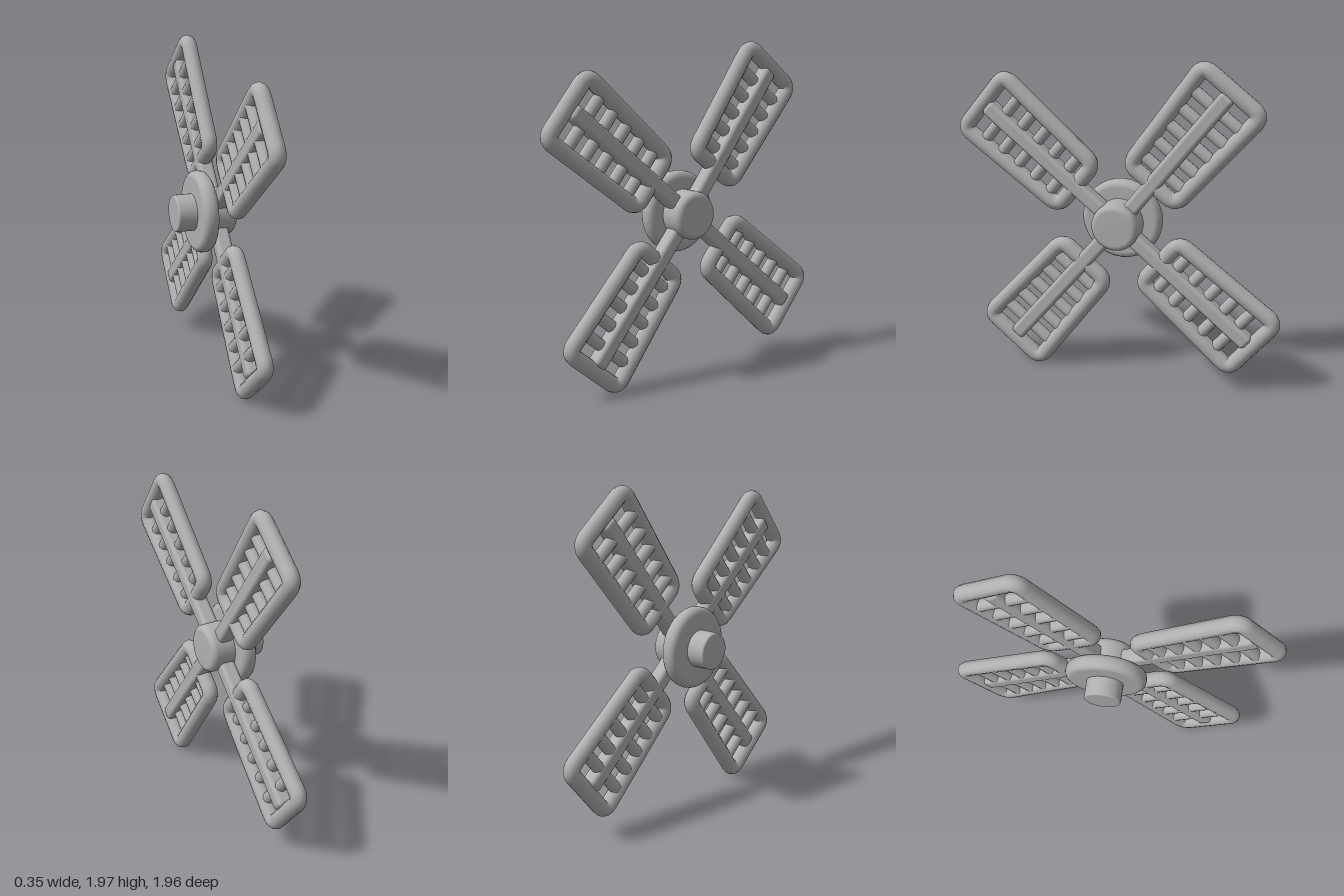
import * as THREE from 'three';
import { RoundedBoxGeometry } from 'three/addons/geometries/RoundedBoxGeometry.js';

const grey = new THREE.MeshStandardMaterial({ color: 0xb0b0b0 });
grey.name = 'plain grey';

function add(parent, name, geometry, x = 0, y = 0, z = 0) {
  const mesh = new THREE.Mesh(geometry, grey);
  mesh.name = name;
  mesh.position.set(x, y, z);
  parent.add(mesh);
  return mesh;
}

// Solid of revolution along +z with softly rounded rims
function roundedDisc(radius, z0, z1, bevel) {
  const points = [new THREE.Vector2(0, z0)];
  for (const [z, start] of [[z0 + bevel, -Math.PI / 2], [z1 - bevel, 0]]) {
    for (let i = 0; i <= 4; i++) {
      const a = start + (i / 4) * (Math.PI / 2);
      points.push(new THREE.Vector2(radius - bevel + Math.cos(a) * bevel, z + Math.sin(a) * bevel));
    }
  }
  points.push(new THREE.Vector2(0, z1));
  return new THREE.LatheGeometry(points, 32).rotateX(Math.PI / 2);
}

// Closed loop of straight rails joined by rounded corners
function frameGeometry(corners, cornerRadius, tubeRadius) {
  const path = new THREE.CurvePath();
  const n = corners.length;
  const toward = (a, b) => a.clone().add(b.clone().sub(a).setLength(cornerRadius));
  for (let i = 0; i < n; i++) {
    const previous = corners[(i + n - 1) % n], corner = corners[i], next = corners[(i + 1) % n];
    path.add(new THREE.QuadraticBezierCurve3(toward(corner, previous), corner, toward(corner, next)));
    path.add(new THREE.LineCurve3(toward(corner, next), toward(next, corner)));
  }
  return new THREE.TubeGeometry(path, 120, tubeRadius, 12, true);
}

const INNER = 0.335, OUTER = 1.06;
const halfWidth = (u) => 0.175 + 0.035 * (u - INNER) / (OUTER - INNER);

// One sail, pointing along +x
function createSail() {
  const sail = new THREE.Group();
  sail.name = 'sail';
  const corners = [[INNER, -1], [OUTER, -1], [OUTER, 1], [INNER, 1]]
    .map(([u, side]) => new THREE.Vector3(u, side * halfWidth(u), 0));
  add(sail, 'sailFrame', frameGeometry(corners, 0.06, 0.048));
  add(sail, 'spar', new RoundedBoxGeometry(0.95, 0.092, 0.096, 3, 0.026), 0.555, 0, 0.002);
  for (let i = 0; i < 5; i++) {
    const u = 0.43 + i * 0.122;
    add(sail, 'slat', new THREE.CylinderGeometry(0.036, 0.036, halfWidth(u) * 2, 12), u, 0, -0.008);
  }
  return sail;
}

export function createModel() {
  const model = new THREE.Group();
  model.name = 'sailWheel';

  // The wheel is laid out facing +z, then turned to face +x
  const wheel = new THREE.Group();
  wheel.name = 'wheel';
  wheel.position.y = 1;
  wheel.rotation.y = Math.PI / 2;
  model.add(wheel);

  // Hub
  add(wheel, 'axle', roundedDisc(0.11, -0.18, 0.0, 0.012), 0, 0.005, 0);
  add(wheel, 'flange', roundedDisc(0.243, -0.066, 0.03, 0.04), 0, 0.005, 0);
  add(wheel, 'hubCap', roundedDisc(0.142, 0.0, 0.174, 0.035));

  // Four sails at their slightly uneven angles
  for (const degrees of [52, 140.8, 230.3, 320.5]) {
    const sail = createSail();
    sail.position.z = 0.073;
    sail.rotation.z = THREE.MathUtils.degToRad(degrees);
    wheel.add(sail);
  }
  return model;
}
